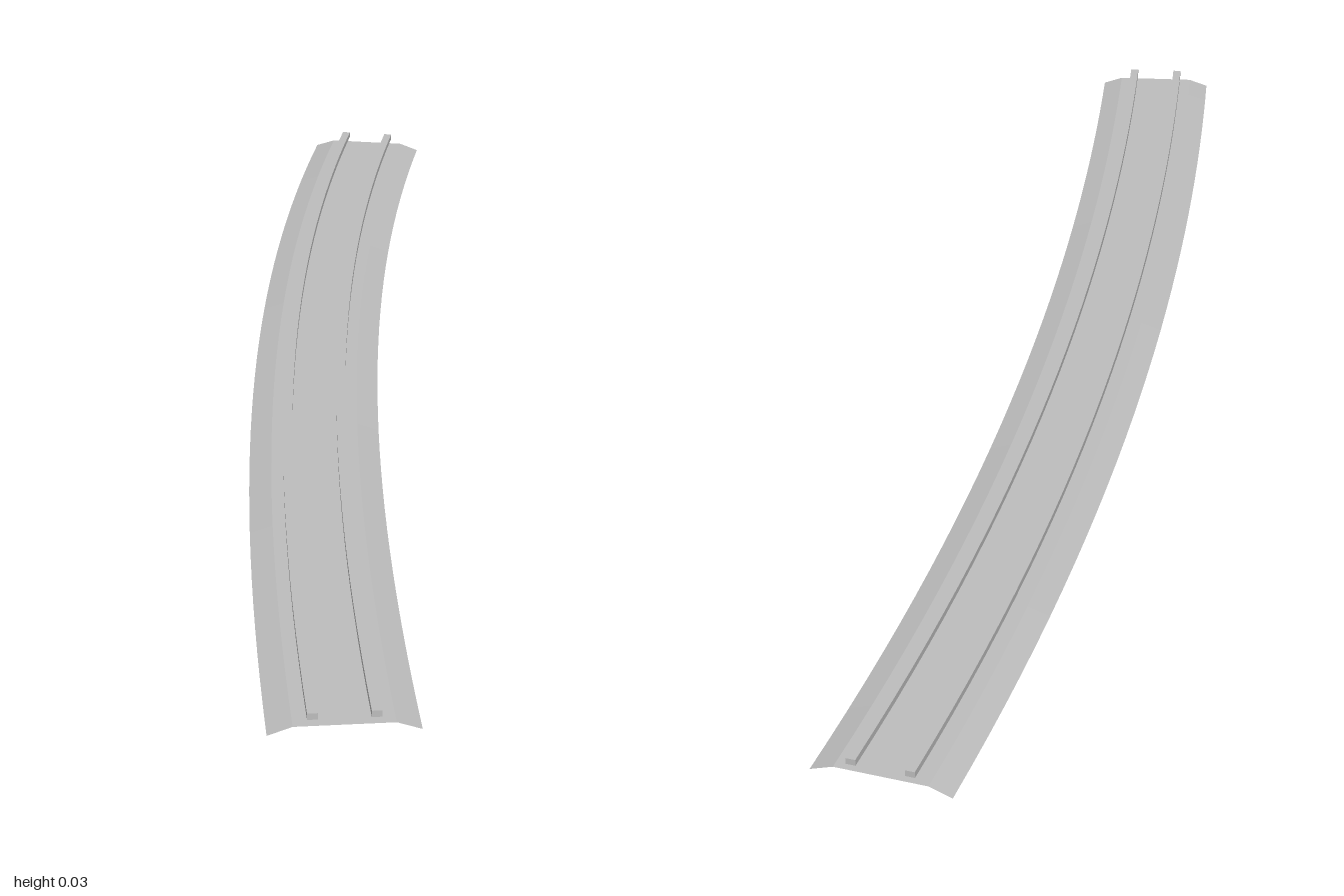
import * as THREE from 'three';

// Centre line of the track, running from the front (+z) to the back (-z)
const path = new THREE.QuadraticBezierCurve3(
  new THREE.Vector3(0.031, 0, 0.991),
  new THREE.Vector3(-0.089, 0, -0.1),
  new THREE.Vector3(0.031, 0, -0.989)
);
const SEGMENTS = 32;
const TIES = 19;

// Position on the centre line and the sideways direction (towards +x)
function frameAt(t) {
  const p = path.getPointAt(t);
  const d = path.getTangentAt(t);
  return { p, side: new THREE.Vector3(-d.z, 0, d.x) };
}

// Sweep a [sideways, height] profile along the centre line
function sweep(profile, closed) {
  const n = profile.length;
  const positions = [];
  const index = [];
  for (let i = 0; i <= SEGMENTS; i++) {
    const { p, side } = frameAt(i / SEGMENTS);
    for (const [u, y] of profile) positions.push(p.x + side.x * u, y, p.z + side.z * u);
  }
  for (let i = 0; i < SEGMENTS; i++) {
    for (let j = 0; j < (closed ? n : n - 1); j++) {
      const k = (j + 1) % n;
      const a = i * n + j, b = i * n + k, c = b + n, d = a + n;
      index.push(a, b, c, a, c, d);
    }
  }
  if (closed) {
    const e = SEGMENTS * n;
    for (let j = 1; j < n - 1; j++) index.push(0, j + 1, j, e, e + j, e + j + 1);
  }
  const geometry = new THREE.BufferGeometry();
  geometry.setAttribute('position', new THREE.Float32BufferAttribute(positions, 3));
  geometry.setIndex(index);
  const flat = geometry.toNonIndexed();
  flat.computeVertexNormals();
  return flat;
}

export function createModel() {
  const group = new THREE.Group();
  group.name = 'curvedTrack';
  const grey = new THREE.MeshStandardMaterial({ color: 0xbcbcbc, side: THREE.DoubleSide });
  grey.name = 'grey';

  const add = (name, geometry) => {
    const mesh = new THREE.Mesh(geometry, grey);
    mesh.name = name;
    group.add(mesh);
    return mesh;
  };

  // Open ballast sheet with sloping shoulders
  add('ballastBed', sweep([[-0.087, 0], [-0.058, 0.01], [0.058, 0.01], [0.087, 0]], false));

  // Pair of rails
  for (const s of [-1, 1]) {
    const l = s * 0.036 - 0.006, r = s * 0.036 + 0.006;
    add(s > 0 ? 'leftRail' : 'rightRail',
      sweep([[l, 0.026], [r, 0.026], [r, 0.018], [l, 0.018]], true));
  }

  // Flat sleepers spaced evenly under the rails
  const tieGeometry = new THREE.PlaneGeometry(0.108, 0.03).rotateX(-Math.PI / 2);
  for (let i = 0; i < TIES; i++) {
    const { p, side } = frameAt((i + 0.5) / TIES);
    const tie = add('sleeper', tieGeometry);
    tie.position.set(p.x, 0.014, p.z);
    tie.rotation.y = Math.atan2(-side.z, side.x);
  }
  return group;
}
